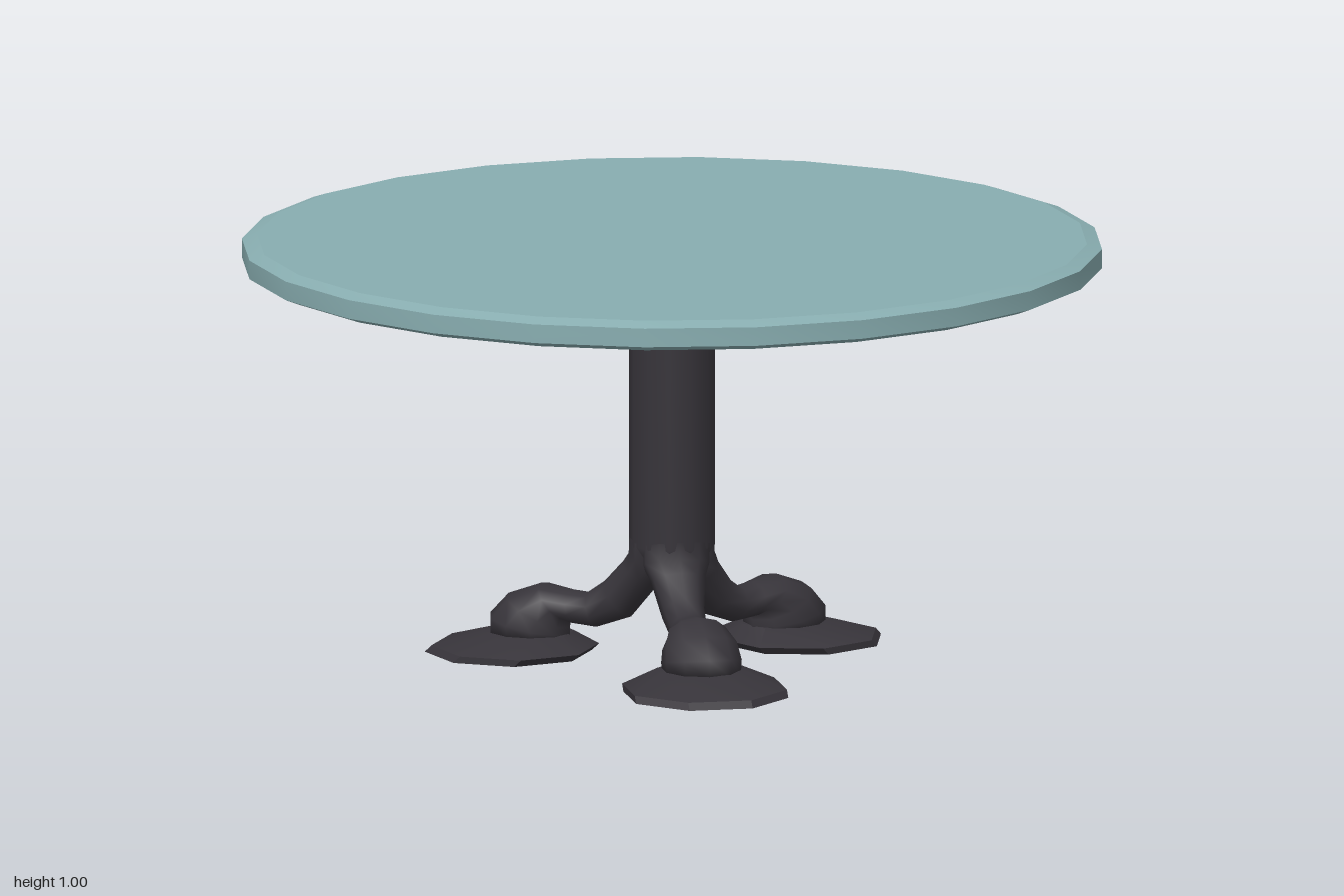
import * as THREE from 'three';
import { toCreasedNormals } from 'three/addons/utils/BufferGeometryUtils.js';

const teal = new THREE.MeshStandardMaterial({ color: 0x88adb0 });
const dark = new THREE.MeshStandardMaterial({ color: 0x37343a });

function lathe(points, sides, start = 0) {
  return new THREE.LatheGeometry(points.map(([r, y]) => new THREE.Vector2(r, y)), sides, start);
}

function part(name, geometry, material) {
  const mesh = new THREE.Mesh(geometry, material);
  mesh.name = name;
  return mesh;
}

// Each section: upper point (x, y), lower point (x, y), half width across
const legSections = [
  [0.098, 0.30, 0.00, 0.27, 0.080],
  [0.100, 0.26, 0.00, 0.22, 0.080],
  [0.118, 0.232, 0.03, 0.185, 0.065],
  [0.165, 0.180, 0.10, 0.100, 0.050],
  [0.205, 0.152, 0.185, 0.070, 0.045],
  [0.250, 0.156, 0.240, 0.075, 0.052],
  [0.320, 0.166, 0.255, 0.085, 0.070],
  [0.400, 0.137, 0.250, 0.065, 0.088],
  [0.445, 0.088, 0.250, 0.050, 0.094],
  [0.445, 0.045, 0.250, 0.040, 0.092],
  [0.400, 0.045, 0.300, 0.045, 0.050],
  [0.350, 0.050, 0.350, 0.050, 0.000],
];

function legGeometry(sides = 10) {
  const pos = [], index = [];
  legSections.forEach(([ux, uy, lx, ly, w], i) => {
    for (let j = 0; j < sides; j++) {
      const a = (j / sides) * Math.PI * 2, c = Math.cos(a) / 2;
      pos.push((ux + lx) / 2 + (ux - lx) * c, (uy + ly) / 2 + (uy - ly) * c, w * Math.sin(a));
      if (i === legSections.length - 1) continue;
      const p = i * sides + j, q = i * sides + (j + 1) % sides;
      index.push(p, q, p + sides, q, q + sides, p + sides);
    }
  });
  const g = new THREE.BufferGeometry();
  g.setAttribute('position', new THREE.Float32BufferAttribute(pos, 3));
  g.setIndex(index);
  g.computeVertexNormals();
  return g;
}

// Eight-sided hollow foot, its raised centre leaning toward the column
function footGeometry() {
  const g = lathe([[0.08, 0.04], [0.185, 0], [0.195, 0], [0.195, 0.016], [0.105, 0.05], [0.07, 0.052]], 8, Math.PI / 8);
  const p = g.attributes.position;
  for (let i = 0; i < p.count; i++) p.setX(i, p.getX(i) + 0.4 - p.getY(i));
  return toCreasedNormals(g, 0.5);
}

export function createModel() {
  const model = new THREE.Group();
  model.name = 'roundTable';

  // Top with chamfered rim
  const top = lathe([[0, 0.93], [0.965, 0.93], [1, 0.944], [1, 0.988], [0.965, 1], [0, 1]], 24);
  model.add(part('tableTop', toCreasedNormals(top, 0.32), teal));

  // Column, tapering to the point where the legs part
  const column = lathe([[0, 0.19], [0.045, 0.2], [0.085, 0.24], [0.1, 0.28], [0.1, 0.935]], 12);
  model.add(part('column', column, dark));

  // Three knuckled legs with their feet
  const leg = legGeometry(), foot = footGeometry();
  for (const degrees of [75, 195, 315]) {
    const group = new THREE.Group();
    group.name = 'legAndFoot';
    group.add(part('leg', leg, dark), part('foot', foot, dark));
    group.rotation.y = -THREE.MathUtils.degToRad(degrees);
    model.add(group);
  }
  return model;
}
